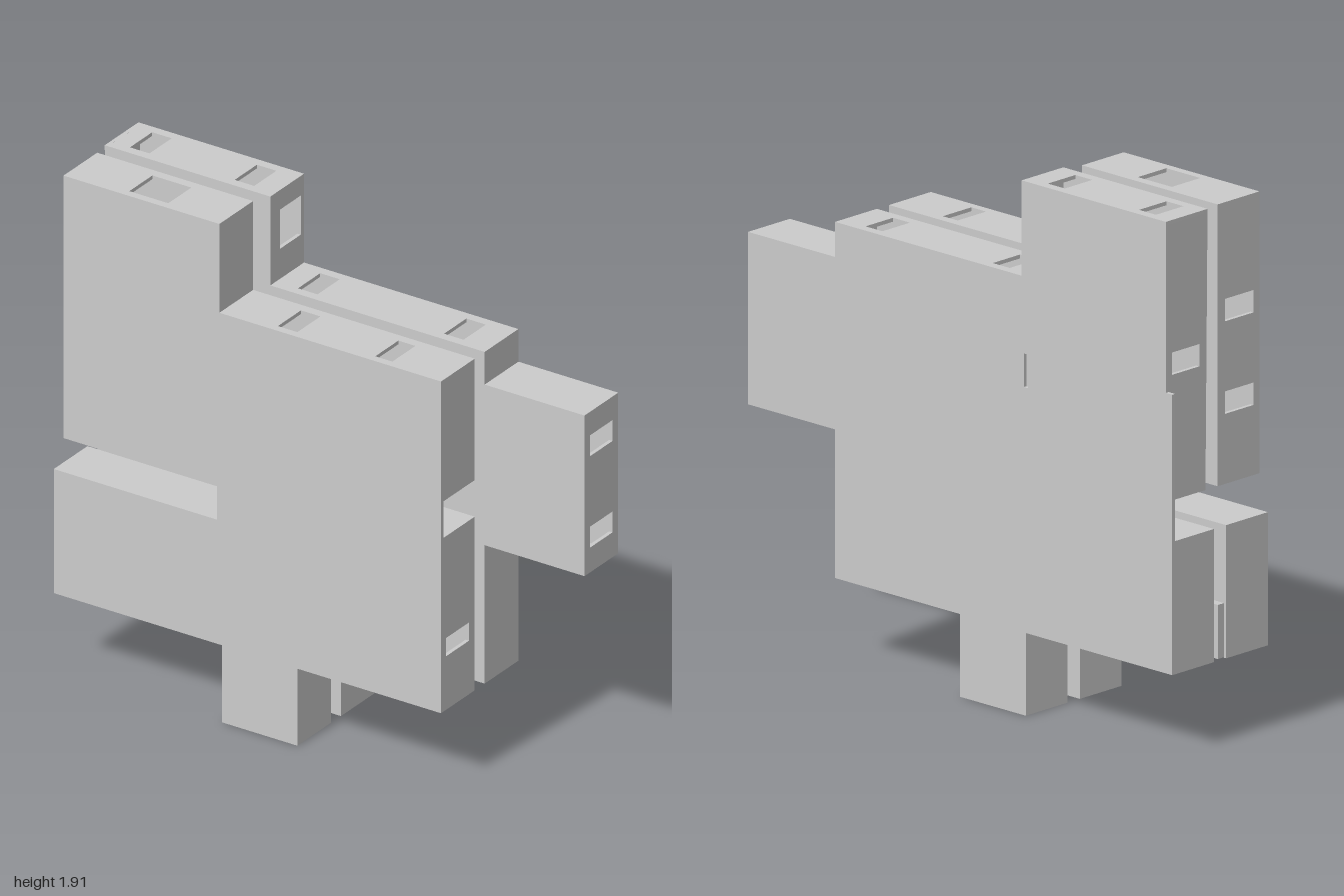
import * as THREE from 'three';

const material = new THREE.MeshStandardMaterial({ color: 0xcccccc, flatShading: true });
const T = 0.014; // shell thickness

const toShape = (pts) => new THREE.Shape(pts.map(([x, y]) => new THREE.Vector2(x, y)));

function rectHole(x0, y0, x1, y1) {
  return new THREE.Path([[x0, y0], [x0, y1], [x1, y1], [x1, y0]].map(([x, y]) => new THREE.Vector2(x, y)));
}

function extrude(name, shape, depth) {
  const geo = new THREE.ExtrudeGeometry(shape, { depth, bevelEnabled: false });
  const mesh = new THREE.Mesh(geo, material);
  mesh.name = name;
  return mesh;
}

// Flat side plate starting at depth z
function plate(name, pts, z, holes = []) {
  const shape = toShape(pts);
  holes.forEach((h) => shape.holes.push(rectHole(...h)));
  const mesh = extrude(name, shape, T);
  mesh.position.z = z;
  return mesh;
}

// One wall per outline edge (counter-clockwise), pierced by windows [edge, from, to, z0, z1]
function rim(pts, z0, z1, windows) {
  const group = new THREE.Group();
  group.name = 'rimWalls';
  pts.forEach(([ax, ay], i) => {
    const [bx, by] = pts[(i + 1) % pts.length];
    const length = Math.hypot(bx - ax, by - ay);
    const shape = toShape([[0, z0], [length, z0], [length, z1], [0, z1]]);
    const start = Math.abs(bx - ax) > Math.abs(by - ay) ? ax : ay;
    windows.filter((w) => w[0] === i).forEach(([, from, to, w0, w1]) => {
      const s = [Math.abs(from - start), Math.abs(to - start)].sort((a, b) => a - b);
      shape.holes.push(rectHole(s[0], w0, s[1], w1));
    });
    const wall = extrude('wall', shape, T);
    const along = new THREE.Vector3(bx - ax, by - ay, 0).normalize();
    const across = new THREE.Vector3(0, 0, 1);
    const outward = along.clone().cross(across);
    wall.quaternion.setFromRotationMatrix(new THREE.Matrix4().makeBasis(along, across, outward));
    wall.position.set(ax, ay, 0).addScaledVector(outward, -T);
    group.add(wall);
  });
  return group;
}

function box(name, x0, x1, y0, y1, z0, z1) {
  const mesh = new THREE.Mesh(new THREE.BoxGeometry(x1 - x0, y1 - y0, z1 - z0), material);
  mesh.position.set((x0 + x1) / 2, (y0 + y1) / 2, (z0 + z1) / 2);
  mesh.name = name;
  return mesh;
}

// Outline pieces shared by both housings
const base = [[-1, 0.295], [-0.31, 0.295], [-0.31, 0], [0, 0], [0, 0.295], [0.59, 0.295]];
const slot = [[-0.96, 0.9], [-0.33, 0.9], [-0.33, 0.77], [-1, 0.77]];

function frontHousing() {
  const group = new THREE.Group();
  group.name = 'frontHousing';
  const notch = [[0.59, 0.96], [0.39, 0.96], [0.39, 1.1], [0.59, 1.1]];
  const top = [[0.59, 1.565], [-0.32, 1.565], [-0.32, 1.905], [-0.96, 1.905]];
  const full = [...base, ...notch, ...top, ...slot];
  const a = 0.065, b = 0.205;
  group.add(
    plate('outerPlate', [...base, ...top, ...slot], 0.235 - T),
    plate('innerPlate', full, 0.03),
    rim(full, 0.03 + T, 0.235 - T, [
      [0, -0.9, -0.82, a, b], [0, -0.54, -0.46, a, b],
      [4, 0.3, 0.38, a, b],
      [5, 0.5, 0.57, a, b],
      [10, -0.1, -0.02, a, b], [10, 0.3, 0.37, a, b],
      [12, -0.71, -0.55, a, b],
      [13, 1.48, 1.56, a, b], [13, 1.15, 1.23, a, b],
    ]),
  );
  return group;
}

function backHousing() {
  const group = new THREE.Group();
  group.name = 'backHousing';
  const arm = [[0.59, 0.825], [1, 0.825], [1, 1.44], [0.59, 1.44]];
  const top = [[0.59, 1.565], [-0.29, 1.565], [-0.29, 1.905], [-0.97, 1.905]];
  const full = [...base, ...arm, ...top, ...slot];
  const a = -0.2, b = -0.065;
  group.add(
    // The outer plate also closes the slot from behind
    plate('outerPlate', [...base, ...arm, ...top, [-0.97, 1.295], [-1, 1.295]], -0.235,
      [[-0.32, 1.17, -0.3, 1.29]]),
    plate('innerPlate', full, -0.03 - T),
    rim(full, -0.235 + T, -0.03 - T, [
      [0, -0.9, -0.82, a, b], [0, -0.54, -0.46, a, b],
      [2, -0.24, -0.06, a, b],
      [4, 0.15, 0.23, a, b], [4, 0.4, 0.48, a, b],
      [7, 0.92, 1.0, a, b], [7, 1.27, 1.35, a, b],
      [10, -0.2, -0.12, a, b], [10, 0.4, 0.48, a, b],
      [11, 1.68, 1.83, -0.215, -0.09],
      [12, -0.89, -0.81, a, b], [12, -0.46, -0.38, a, b],
      [13, 1.35, 1.43, a, b],
    ]),
  );
  return group;
}

export function createModel() {
  const model = new THREE.Group();
  model.name = 'twinHousing';
  model.add(
    frontHousing(),
    backHousing(),
    // Parts bridging the gap between the housings
    box('connector', -0.31, -0.19, 0.5, 1.0, -0.03, 0.03),
    box('spacerStrip', -0.99, -0.42, 0.297, 0.49, 0, 0.03),
  );
  return model;
}
